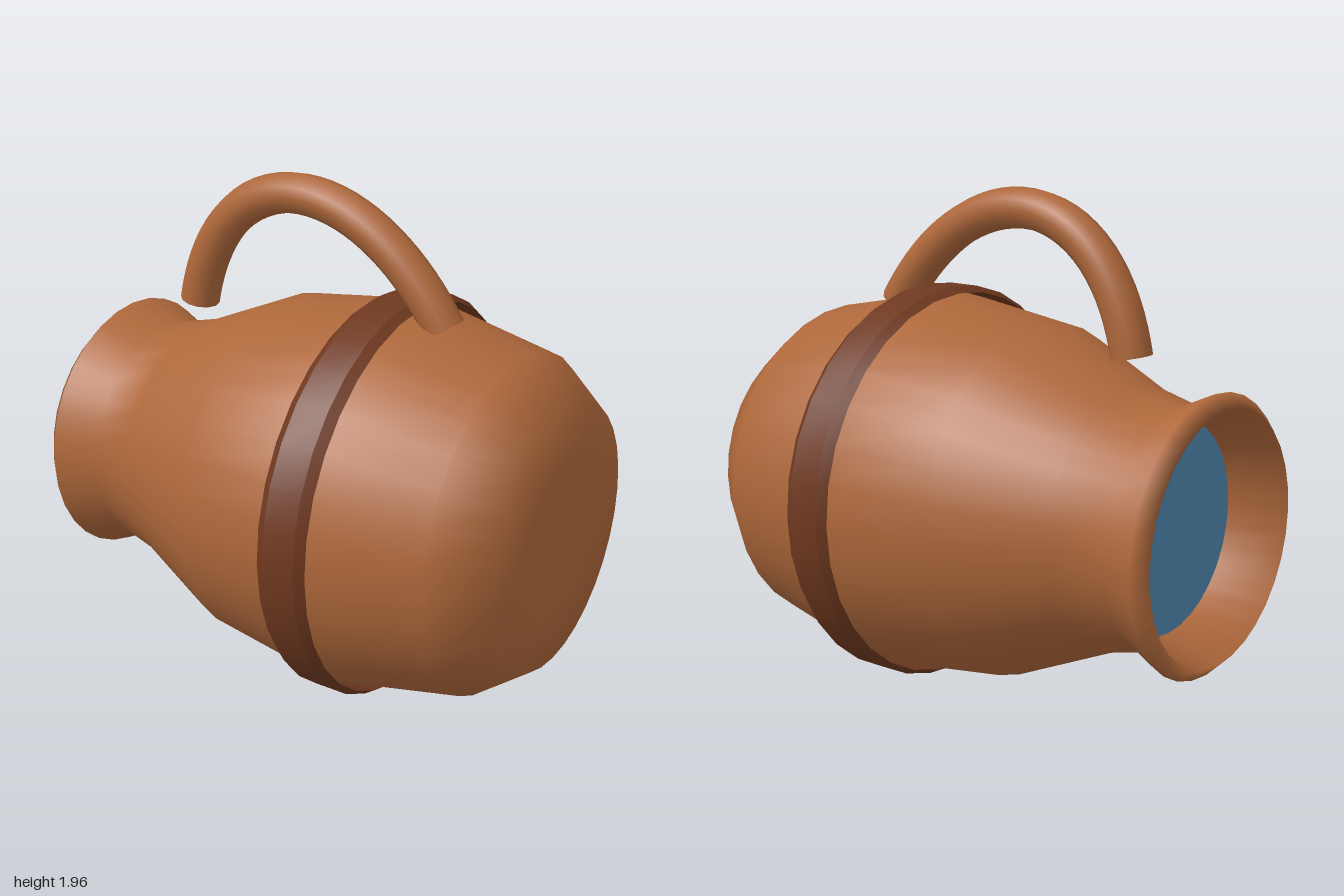
import * as THREE from 'three';
import { toCreasedNormals } from 'three/addons/utils/BufferGeometryUtils.js';

const AXIS_Y = 0.78; // height of the jug's lying axis

function material(name, color, side = THREE.FrontSide) {
  const m = new THREE.MeshStandardMaterial({ color, side });
  m.name = name;
  return m;
}

// Revolves [radius, x] pairs around the horizontal axis of the jug
function revolve(profile, segments = 32) {
  const points = profile.map(([r, x]) => new THREE.Vector2(r, x));
  return new THREE.LatheGeometry(points, segments).rotateZ(-Math.PI / 2).translate(0, AXIS_Y, 0);
}

export function createModel() {
  const clay = material('clay', 0xad673a, THREE.DoubleSide);
  const darkClay = material('dark clay', 0x6e381f);
  const water = material('water', 0x5088b0);

  const group = new THREE.Group();
  group.name = 'jug';
  const add = (name, geometry, mat) => {
    const mesh = new THREE.Mesh(geometry, mat);
    mesh.name = name;
    group.add(mesh);
  };

  // Body: inside of the mouth, flared lip, neck, belly, flat base
  add('body', revolve([
    [0.39, -0.76], [0.47, -1], [0.52, -0.95], [0.45, -0.8], [0.5, -0.6],
    [0.68, -0.2], [0.75, 0.3], [0.65, 0.8], [0.5, 1], [0.28, 1], [0, 1],
  ]), clay);

  // Chamfered band around the belly
  add('band', toCreasedNormals(revolve([
    [0.757, 0.4], [0.757, 0.2], [0.78, 0.235], [0.78, 0.365], [0.757, 0.4],
  ]), 0.5), darkClay);

  // Water surface closing the mouth
  const surface = new THREE.CircleGeometry(0.4, 32).rotateY(-Math.PI / 2);
  add('waterSurface', surface.translate(-0.785, AXIS_Y, 0), water);

  // Arched handle, open at both ends
  const arch = new THREE.CubicBezierCurve3(
    new THREE.Vector3(-0.6, 1.385, 0),
    new THREE.Vector3(-0.475, 2.03, 0),
    new THREE.Vector3(0.145, 2.04, 0),
    new THREE.Vector3(0.5, 1.48, 0),
  );
  add('handle', new THREE.TubeGeometry(arch, 32, 0.077, 12), clay);

  return group;
}
